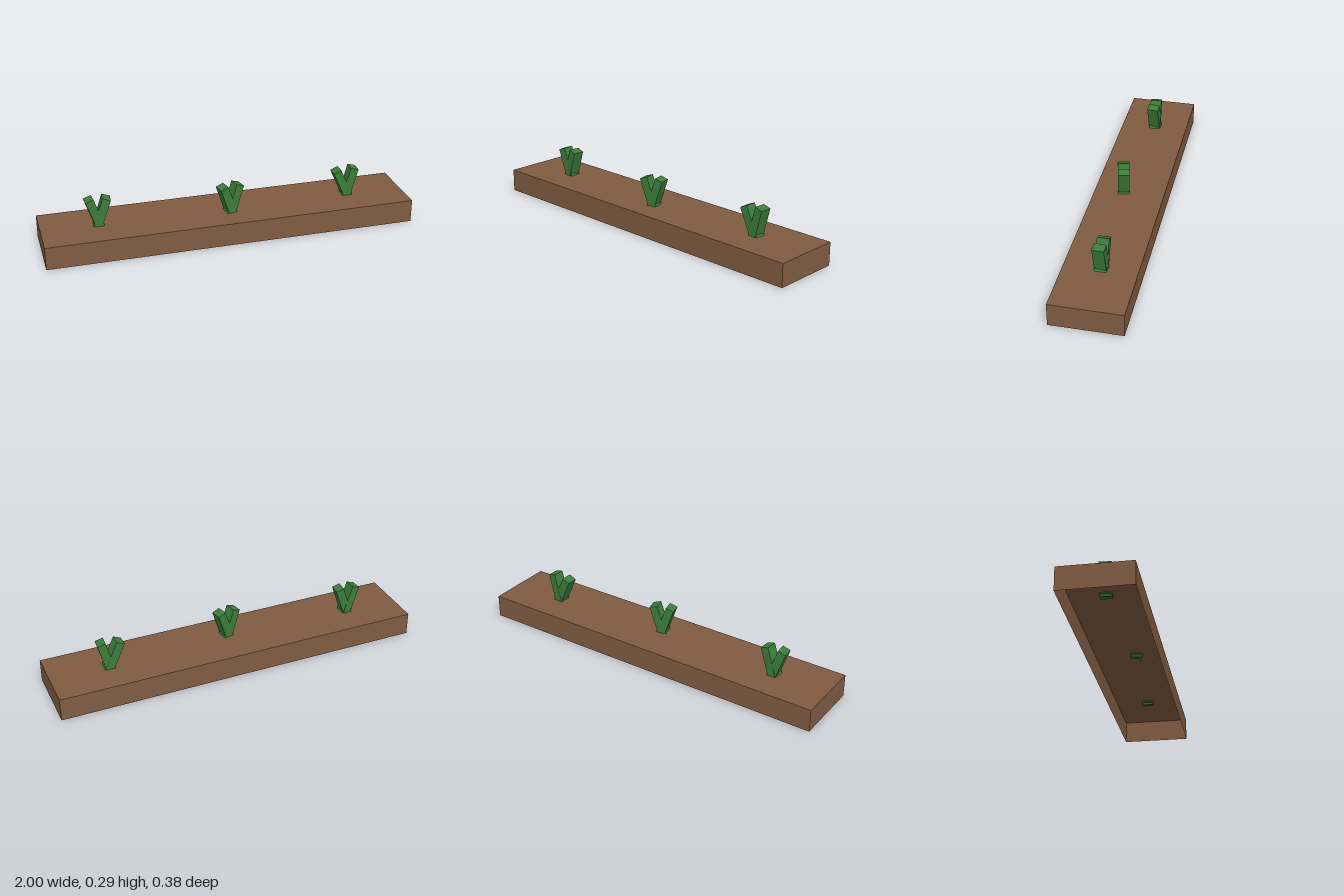
import * as THREE from 'three';

export function createModel() {
  const model = new THREE.Group();
  model.name = 'planter';
  const soil = new THREE.MeshStandardMaterial({ color: 0x805c42, side: THREE.DoubleSide });
  soil.name = 'earth brown';
  const leaf = new THREE.MeshStandardMaterial({ color: 0x3b7d3a });
  leaf.name = 'leaf green';

  // Hollow bed: a box without its underside
  const W = 2, H = 0.125, D = 0.375;
  const bedGeo = new THREE.BoxGeometry(W, H, D);
  const index = Array.from(bedGeo.index.array);
  index.splice(18, 6); // remove the bottom face
  bedGeo.setIndex(index);
  bedGeo.clearGroups();
  const bed = new THREE.Mesh(bedGeo, soil);
  bed.name = 'bed';
  bed.position.y = H / 2;
  model.add(bed);

  // Leaf blade, standing on its own origin
  const bladeGeo = new THREE.BoxGeometry(0.045, 0.17, 0.062);
  bladeGeo.translate(0, 0.085, 0);

  // Sprout: two blades in a V, rooted just below the bed's top
  const rad = THREE.MathUtils.degToRad;
  function addSprout(name, x, z, blades) {
    const sprout = new THREE.Group();
    sprout.name = name;
    sprout.position.set(x, H - 0.01, z);
    blades.forEach(([tilt, yaw], i) => {
      const turn = new THREE.Group();
      turn.name = i ? 'leftBlade' : 'rightBlade';
      turn.rotation.y = rad(yaw);
      const blade = new THREE.Mesh(bladeGeo, leaf);
      blade.name = 'blade';
      blade.position.x = i ? -0.007 : 0.007;
      blade.rotation.z = rad(tilt);
      turn.add(blade);
      sprout.add(turn);
    });
    model.add(sprout);
  }

  // Each blade is [tilt, yaw] in degrees
  addSprout('rightSprout', -0.695, -0.004, [[18.5, 5], [-18.5, -5]]);
  addSprout('middleSprout', 0.01, 0.033, [[19, 13], [-18, 13]]);
  addSprout('leftSprout', 0.685, -0.004, [[24.5, 0], [-14.5, -4]]);

  return model;
}
